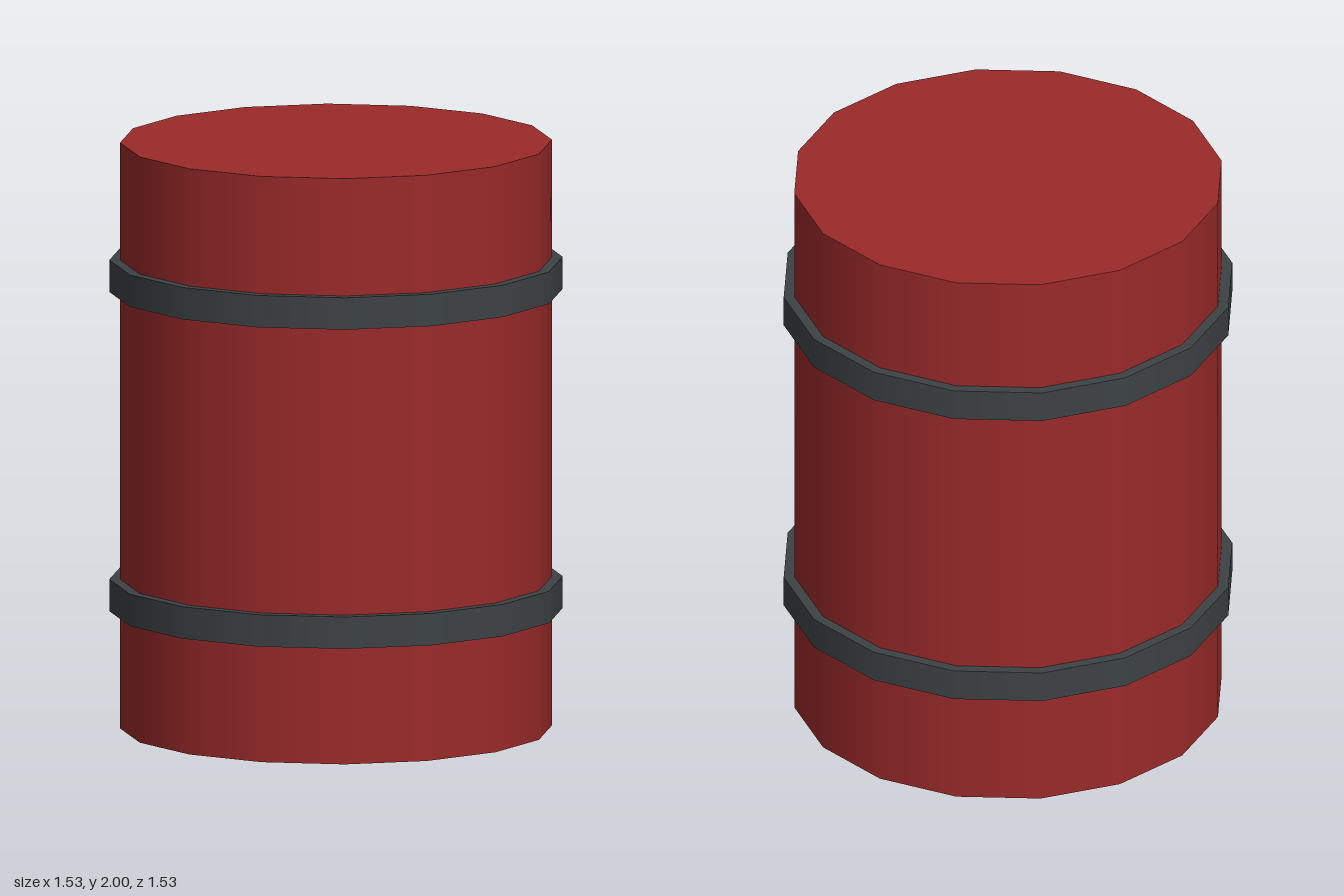
import * as THREE from 'three';

const SIDES = 16;

export function createModel() {
  const model = new THREE.Group();
  model.name = 'barrel';
  const red = new THREE.MeshStandardMaterial({ color: 0x9b2a2a });
  const darkGrey = new THREE.MeshStandardMaterial({ color: 0x3d4245 });

  // Upright cylinder centred at height y
  const addDrum = (name, radius, height, y, material) => {
    const mesh = new THREE.Mesh(new THREE.CylinderGeometry(radius, radius, height, SIDES), material);
    mesh.name = name;
    mesh.position.y = y;
    model.add(mesh);
  };

  // Body with closed ends
  addDrum('body', 0.727, 2, 1, red);

  // Hoops around the body, mirrored about its middle
  addDrum('lowerHoop', 0.763, 0.109, 0.455, darkGrey);
  addDrum('upperHoop', 0.763, 0.109, 1.545, darkGrey);

  return model;
}
